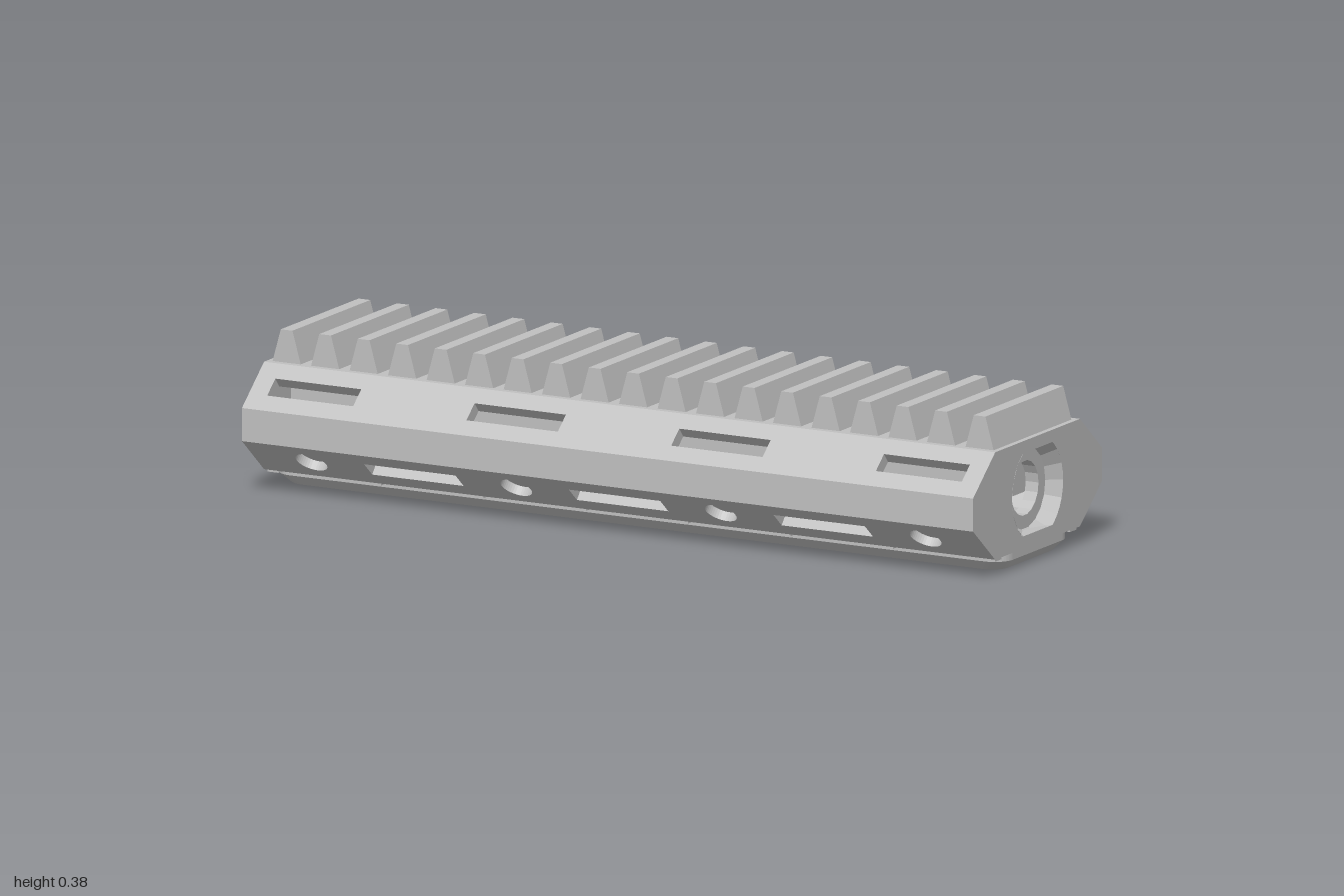
import * as THREE from 'three';

const grey = new THREE.MeshStandardMaterial({ color: 0xc0c0c0, side: THREE.DoubleSide, flatShading: true });
grey.name = 'light grey';

function part(parent, name, geometry, x = 0, y = 0, z = 0) {
  const mesh = new THREE.Mesh(geometry, grey);
  mesh.name = name;
  mesh.position.set(x, y, z);
  parent.add(mesh);
  return mesh;
}

const circle = (x, y, r) => new THREE.Path().absarc(x, y, r, 0, Math.PI * 2, true);
function rectHole(x, y, w, h) {
  const a = w / 2, b = h / 2;
  return new THREE.Path([[-a, -b], [-a, b], [a, b], [a, -b]].map(([u, v]) => new THREE.Vector2(x + u, y + v)));
}

// Octagon outline as (z, y), from the lower front edge upwards and around
const outline = [
  [0.207, 0.042], [0.315, 0.132], [0.315, 0.213], [0.207, 0.305],
  [-0.207, 0.305], [-0.315, 0.213], [-0.315, 0.132], [-0.207, 0.042],
];
const WALL = 0.03, CAP = 0.05, BORE_Y = 0.173;
const outerX = [-0.84, -0.28, 0.28, 0.84];
const innerX = [-0.56, 0, 0.56];
const boltX = [-0.61, -0.203, 0.203, 0.61];

export function createModel() {
  const model = new THREE.Group();
  model.name = 'railHandguard';

  // Hollow body: one slab per side of the octagon, pierced where needed
  const body = new THREE.Group();
  body.name = 'body';
  model.add(body);
  const names = ['lowerFrontSlope', 'frontWall', 'upperFrontSlope', 'topDeck',
    'upperBackSlope', 'backWall', 'lowerBackSlope', 'underside'];
  names.forEach((name, i) => {
    const [z0, y0] = outline[i], [z1, y1] = outline[(i + 1) % 8];
    const len = Math.hypot(z1 - z0, y1 - y0), mid = len / 2;
    const shape = new THREE.Shape([[-1, 0], [1, 0], [1, len], [-1, len]].map(p => new THREE.Vector2(...p)));
    const upper = name.startsWith('upper'), lower = name.startsWith('lower');
    if (upper) outerX.forEach(x => shape.holes.push(rectHole(x, mid, 0.25, 0.052)));
    if (lower) {
      innerX.forEach(x => shape.holes.push(rectHole(x, mid, 0.25, 0.052)));
      outerX.forEach(x => shape.holes.push(circle(x, mid, 0.04)));
    }
    if (name === 'underside') boltX.forEach(x => shape.holes.push(circle(x, mid, 0.07)));
    const geo = new THREE.ExtrudeGeometry(shape, { depth: WALL, bevelEnabled: false, curveSegments: 20 });
    geo.translate(0, 0, -WALL);
    const X = new THREE.Vector3(1, 0, 0);
    const Y = new THREE.Vector3(0, (y1 - y0) / len, (z1 - z0) / len);
    const frame = new THREE.Matrix4().makeBasis(X, Y, X.clone().cross(Y)).setPosition(0, y0, z0);
    part(body, name, geo.applyMatrix4(frame));
    // Recessed floors of the round holes
    if (lower) for (const x of outerX) {
      const floor = new THREE.CircleGeometry(0.042, 20).translate(x, mid, -0.024);
      part(body, 'roundRecess', floor.applyMatrix4(frame));
    }
  });

  // Solid core under the teeth
  part(body, 'core', new THREE.BoxGeometry(1.86, 0.142, 0.4), 0, 0.219, 0);

  // End caps with countersunk bores
  for (const s of [-1, 1]) {
    const cap = new THREE.Group();
    cap.name = s > 0 ? 'leftEnd' : 'rightEnd';
    model.add(cap);
    const shape = new THREE.Shape(outline.map(([z, y]) => new THREE.Vector2(-z, y)));
    shape.holes.push(circle(0, BORE_Y, 0.125));
    const plate = new THREE.ExtrudeGeometry(shape, { depth: CAP, bevelEnabled: false, curveSegments: 18 });
    plate.translate(0, 0, -CAP).rotateY(Math.PI / 2);
    if (s < 0) plate.rotateY(Math.PI);
    part(cap, 'endPlate', plate);
    cap.children[0].position.x = s;
    const profile = [[0.125, 0], [0.1, -0.035], [0.067, -0.035], [0.067, -0.07]];
    const bore = new THREE.LatheGeometry(profile.map(p => new THREE.Vector2(...p)), 18);
    bore.rotateZ(-s * Math.PI / 2);
    part(cap, 'bore', bore, s, BORE_Y, 0);
  }

  // Row of tapered rack teeth
  const tooth = new THREE.Shape([[-0.039, 0], [0.039, 0], [0.016, 0.082], [-0.016, 0.082]]
    .map(p => new THREE.Vector2(...p)));
  const toothGeo = new THREE.ExtrudeGeometry(tooth, { depth: 0.38, bevelEnabled: false });
  toothGeo.translate(0, 0, -0.19);
  const rack = new THREE.Group();
  rack.name = 'teeth';
  model.add(rack);
  for (let i = 0; i < 19; i++) part(rack, 'tooth', toothGeo, (i - 9) * 0.1053, 0.303, 0);

  // Base plate with round corners, bolt holes and a bevelled lower edge
  const base = new THREE.Group();
  base.name = 'base';
  model.add(base);
  const c = 0.05, w = 1, h = 0.17;
  const foot = new THREE.Shape();
  foot.absarc(w - c, h - c, c, 0, Math.PI / 2);
  foot.absarc(-w + c, h - c, c, Math.PI / 2, Math.PI);
  foot.absarc(-w + c, -h + c, c, Math.PI, Math.PI * 1.5);
  foot.absarc(w - c, -h + c, c, Math.PI * 1.5, Math.PI * 2);
  boltX.forEach(x => foot.holes.push(circle(x, 0, 0.064)));
  const slab = depth => new THREE.ExtrudeGeometry(foot, { depth, bevelEnabled: false, curveSegments: 8 })
    .rotateX(-Math.PI / 2);
  part(base, 'basePlate', slab(0.02), 0, 0.025, 0);
  const bevel = slab(0.025), pos = bevel.attributes.position;
  for (let i = 0; i < pos.count; i++) {
    const x = pos.getX(i), z = pos.getZ(i);
    if (pos.getY(i) < 0.01 && (Math.abs(x) > 0.9 || Math.abs(z) > 0.1)) {
      pos.setX(i, x * 0.977);
      pos.setZ(i, z * 0.865);
    }
  }
  bevel.computeVertexNormals();
  part(base, 'bevelledEdge', bevel);

  // Bolt sleeves rising from the base to the core
  const sleeve = new THREE.LatheGeometry([[0.064, 0.02], [0.064, 0.15], [0.078, 0.15], [0.078, 0.045]]
    .map(p => new THREE.Vector2(...p)), 24);
  for (const x of boltX) part(base, 'boltSleeve', sleeve, x);

  // Small lugs along the seam between base and body
  const lug = new THREE.BoxGeometry(0.03, 0.014, 0.03);
  for (const s of [-1, 1]) {
    for (let i = 0; i < 8; i++) part(base, 'lug', lug, (i - 3.5) * 0.28, 0.042, s * 0.183);
  }

  return model;
}
